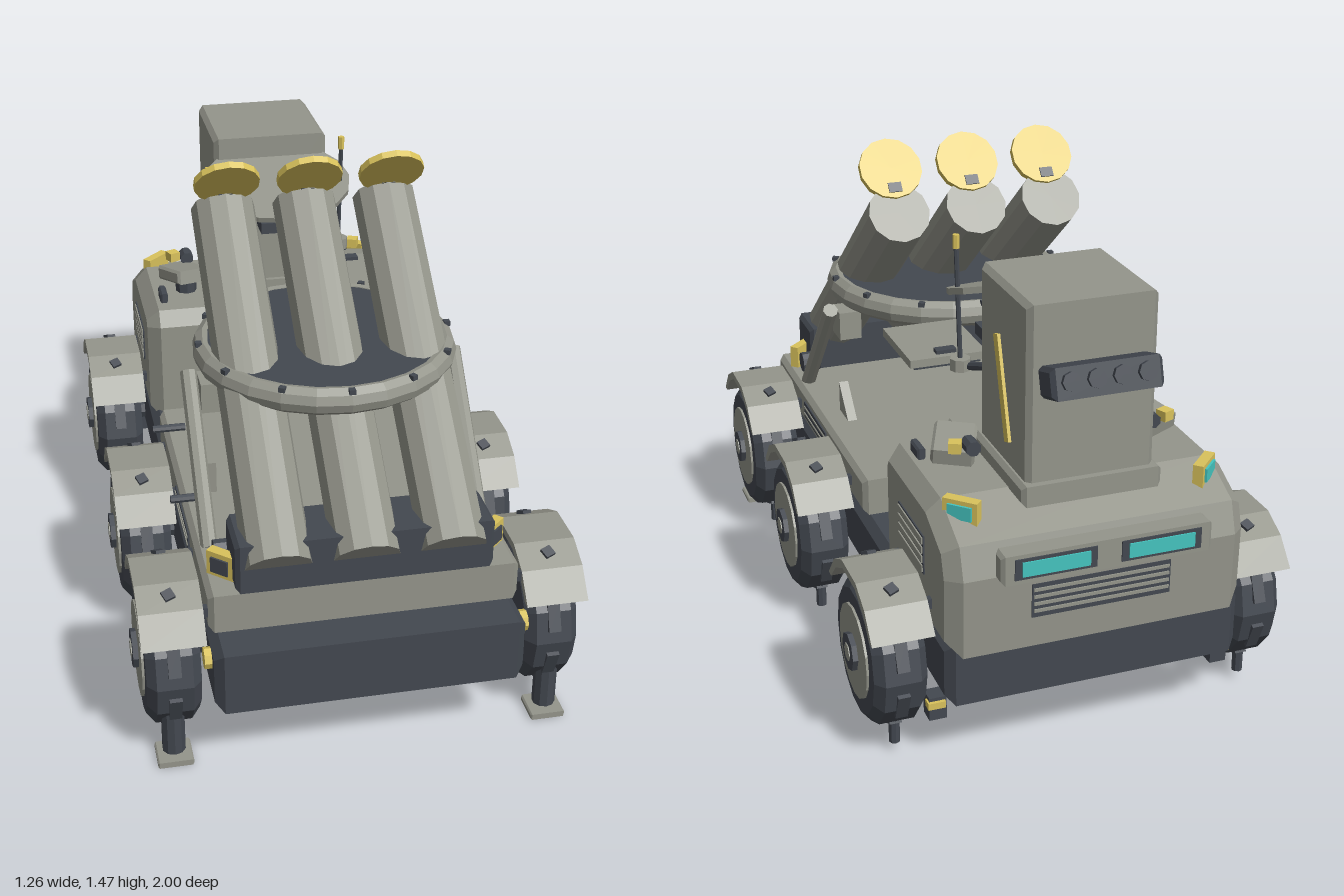
import * as THREE from 'three';

export function createModel() {
  const root = new THREE.Group();
  const mat = (name, color) => {
    const m = new THREE.MeshStandardMaterial({ color });
    m.name = name;
    return m;
  };
  const grey = mat('warmGrey', 0x94958b), dark = mat('slate', 0x434850);
  const yellow = mat('yellow', 0xd9c25c), teal = mat('teal', 0x45c4bf);

  // Faceted mesh placed at (x, y, z)
  const add = (name, geo, m, x = 0, y = 0, z = 0, rx = 0, ry = 0, rz = 0) => {
    const g = geo.index ? geo.toNonIndexed() : geo;
    g.computeVertexNormals();
    const mesh = new THREE.Mesh(g, m);
    mesh.name = name;
    mesh.position.set(x, y, z);
    mesh.rotation.set(rx, ry, rz);
    root.add(mesh);
    return mesh;
  };
  const box = (w, h, d) => new THREE.BoxGeometry(w, h, d);
  const cyl = (r, h, n = 12, r2 = r) => new THREE.CylinderGeometry(r, r2, h, n);
  const wheelCyl = (r, h, n = 12, r2 = r) => cyl(r, h, n, r2).rotateZ(-Math.PI / 2);
  // Side profile of [z, y] points, extruded across x with chamfered ends
  const sideExtrude = (pts, width, c = 0) => {
    const s = new THREE.Shape(pts.map(p => new THREE.Vector2(p[0], p[1])));
    return new THREE.ExtrudeGeometry(s, {
      depth: width - 2 * c, bevelEnabled: c > 0, bevelSize: c, bevelThickness: c,
      bevelOffset: -c, bevelSegments: 1,
    }).translate(0, 0, c - width / 2).rotateY(-Math.PI / 2);
  };
  // Box with chamfered edges
  const cbox = (w, h, d, c) => {
    const a = d / 2, b = h / 2;
    return sideExtrude([[-a, -b], [a, -b], [a, b], [-a, b]], w, c);
  };
  // Round bar between two points
  const bar = (name, a, b, r, m, n = 8) => {
    const p = new THREE.Vector3(...a), q = new THREE.Vector3(...b);
    const mesh = add(name, cyl(r, p.distanceTo(q), n), m);
    mesh.position.copy(p).add(q).multiplyScalar(0.5);
    mesh.quaternion.setFromUnitVectors(new THREE.Vector3(0, 1, 0), q.sub(p).normalize());
  };
  const sides = [-1, 1];

  // Chassis and load bed
  add('chassis', cbox(0.86, 0.185, 1.93, 0.025), dark, 0, 0.31, 0.035);
  add('bed', cbox(0.86, 0.115, 1.06, 0.015), grey, 0, 0.47, 0.37);
  add('bedUnderlay', box(0.8, 0.03, 1.0), dark, 0, 0.405, 0.37);

  // Wheels, fenders and axles
  const arch = [[-0.215, 0.41], [-0.15, 0.485], [-0.07, 0.525], [0.07, 0.525], [0.15, 0.485], [0.215, 0.41],
    [0.19, 0.41], [0.135, 0.465], [0.06, 0.503], [-0.06, 0.503], [-0.135, 0.465], [-0.19, 0.41]];
  for (const z of [0.735, 0.12, -0.66]) {
    add('axle', wheelCyl(0.035, 0.95, 8), dark, 0, 0.275, z);
    add('differential', cyl(0.07, 0.05, 6), dark, 0, 0.2, z);
    for (const s of sides) {
      const x = s * 0.53;
      add('tyre', wheelCyl(0.21, 0.1, 14), dark, x, 0.275, z);
      add('tyreShoulder', wheelCyl(s > 0 ? 0.18 : 0.21, 0.025, 14, s > 0 ? 0.21 : 0.18), dark, x + s * 0.0625, 0.275, z);
      add('tyreInnerShoulder', wheelCyl(s > 0 ? 0.21 : 0.18, 0.025, 14, s > 0 ? 0.18 : 0.21), dark, x - s * 0.0625, 0.275, z);
      add('rim', wheelCyl(0.135, 0.012, 16), grey, x + s * 0.076, 0.275, z);
      add('hub', wheelCyl(0.055, 0.03, 8), dark, x + s * 0.082, 0.275, z);
      add('hubCap', wheelCyl(0.026, 0.02, 6), grey, x + s * 0.09, 0.275, z);
      for (let i = 0; i < 8; i++) {
        const a = (i + 0.5) * Math.PI / 4;
        add('treadLug', box(0.035, 0.014, 0.09), dark, x, 0.275 + 0.205 * Math.sin(a), z + 0.205 * Math.cos(a), Math.PI / 2 - a);
      }
      add('fender', sideExtrude(arch, 0.175), grey, x, 0, z);
      for (const t of sides) {
        add('fenderBolt', box(0.03, 0.02, 0.03), dark, x, 0.507, z + t * 0.105, t * 0.45, 0.4);
        add('fenderBracket', box(0.05, 0.03, 0.02), dark, s * 0.44, 0.47, z + t * 0.14);
        if (z < 0.7 || t < 0) add('wheelPeg', cyl(0.016, 0.12, 8), dark, x, 0.09, z + t * 0.105);
      }
    }
  }

  for (const s of sides) {
    // Stabiliser legs
    add('stabiliserLeg', cyl(0.033, 0.2, 10), dark, s * 0.535, 0.13, 0.88);
    add('stabiliserFoot', cbox(0.1, 0.018, 0.095, 0.004), grey, s * 0.535, 0.009, 0.88);
    // Low brackets beside the chassis
    add('lowBracket', box(0.05, 0.07, 0.05), dark, s * 0.425, 0.155, -0.81);
    add('lowMarker', box(0.05, 0.02, 0.03), yellow, s * 0.43, 0.17, -0.83);
    add('chassisMarker', cyl(0.03, 0.02, 8), yellow, s * 0.44, 0.35, 0.92, 0, 0, Math.PI / 2);
    // Bed vents
    add('bedVent', box(0.008, 0.055, 0.27), dark, s * 0.431, 0.472, 0.4);
    for (const y of [0.46, 0.484]) add('bedSlat', box(0.008, 0.006, 0.26), grey, s * 0.434, y, 0.4);
    // Ring supports, gussets and pivot
    bar('liftStrut', [s * 0.39, 0.52, 0.65], [s * 0.39, 0.9, 0.31], 0.024, grey);
    add('strutHead', box(0.07, 0.09, 0.09), grey, s * 0.33, 0.845, 0.34);
    add('gusset', sideExtrude([[0.27, 0.525], [0.37, 0.525], [0.37, 0.625]], 0.03), grey, s * 0.34);
    add('pivot', wheelCyl(0.033, 0.06, 10), dark, s * 0.36, 0.56, 0.73);
    // Front marker lamps
    const ry = -s * Math.PI / 4;
    add('frontLampFrame', box(0.085, 0.075, 0.03), yellow, s * 0.375, 0.563, 0.8, 0, s * 0.75);
    add('frontLampFace', box(0.055, 0.045, 0.006), dark, s * 0.387, 0.563, 0.813, 0, s * 0.75);
    // Rear corner lamps
    add('rearLampFrame', box(0.1, 0.065, 0.03), yellow, s * 0.35, 0.745, -0.825, 0, ry);
    add('rearLampLens', box(0.07, 0.04, 0.008), teal, s * 0.362, 0.745, -0.838, 0, ry);
    // Cab side vents and handles
    add('cabVent', box(0.008, 0.115, 0.22), dark, s * 0.43, 0.585, -0.64);
    for (let i = 0; i < 4; i++) add('cabVentSlat', box(0.012, 0.02, 0.21), grey, s * 0.432, 0.543 + i * 0.028, -0.64);
    add('cabHandle', cbox(0.025, 0.035, 0.07, 0.006), dark, s * 0.365, 0.775, -0.5);
    // Roof sensor pods
    add('sensorPod', cbox(0.12, 0.045, 0.14, 0.008), grey, s * 0.285, 0.815, -0.575, -0.2, -s * 0.4);
    add('sensorMount', cyl(0.035, 0.05, 8), dark, s * 0.28, 0.775, -0.56);
    add('sensorLens', cyl(0.022, 0.05, 8), dark, s * 0.265, 0.84, -0.655, Math.PI / 2, -s * 0.4);
    add('sensorTip', box(0.035, 0.03, 0.035), yellow, s * 0.31, 0.845, -0.655, 0, -s * 0.4);
    // Tower side stripe
    add('towerStripe', box(0.009, 0.29, 0.032), yellow, s * 0.187, 1.01, -0.685, 0.31);
  }
  for (const z of [0.02, 0.44]) add('sidePipe', wheelCyl(0.012, 0.1, 8), dark, -0.42, 0.56, z);

  // Rear cab
  add('cab', sideExtrude([[-0.38, 0.37], [-0.38, 0.71], [-0.41, 0.76], [-0.77, 0.76],
    [-0.92, 0.69], [-0.95, 0.6], [-0.945, 0.37]].reverse(), 0.86, 0.04), grey);
  add('cabFrontBox', cbox(0.44, 0.12, 0.1, 0.012), grey, 0, 0.705, -0.36);
  add('rearLightBar', cbox(0.6, 0.085, 0.055, 0.01), grey, 0, 0.635, -0.963);
  add('rearGrille', box(0.4, 0.1, 0.008), dark, 0, 0.51, -0.947);
  for (let i = 0; i < 4; i++) add('grilleSlat', box(0.39, 0.009, 0.008), grey, 0, 0.48 + i * 0.021, -0.951);
  for (const s of sides) {
    add('rearLightFrame', box(0.23, 0.06, 0.008), dark, s * 0.15, 0.636, -0.99);
    add('rearLight', box(0.19, 0.042, 0.006), teal, s * 0.15, 0.636, -0.995);
  }

  // Sensor tower
  add('towerBase', cbox(0.4, 0.06, 0.39, 0.012), grey, 0, 0.775, -0.68);
  add('tower', cbox(0.365, 0.53, 0.355, 0.015), grey, 0, 1.035, -0.678);
  add('rearSensor', cbox(0.31, 0.085, 0.1, 0.012), dark, 0, 1.105, -0.905, 0.3);
  for (let i = 0; i < 4; i++) {
    add('rearSensorEye', cyl(0.026, 0.05, 8), dark, -0.105 + i * 0.07, 1.12, -0.94, Math.PI / 2 + 0.3);
  }
  add('dish', cyl(0.235, 0.018, 16).scale(1, 1, 0.82), grey, 0, 1.185, -0.39, 0.32);
  add('towerShelf', box(0.2, 0.035, 0.16), dark, 0.04, 1.048, -0.42);
  add('shelfCanister', cyl(0.033, 0.13, 10), dark, 0.04, 1.12, -0.43);
  bar('shelfBrace', [0.18, 0.96, -0.4], [0.15, 1.0, -0.52], 0.012, dark);
  add('antennaBase', cyl(0.03, 0.035, 8), grey, 0.2, 0.965, -0.385);
  bar('antenna', [0.2, 0.97, -0.385], [0.2, 1.3, -0.355], 0.007, dark, 6);
  add('antennaTip', cyl(0.01, 0.04, 6), yellow, 0.2, 1.315, -0.354);

  // Walkway plate between ring and tower
  add('walkway', box(0.23, 0.024, 0.27), grey, 0.205, 0.943, -0.165);
  add('walkwayEdge', box(0.2, 0.012, 0.25), dark, 0.205, 0.927, -0.165);
  add('walkwayLatch', box(0.06, 0.012, 0.03), dark, 0.205, 0.96, -0.265);

  // Launcher ring
  const rim = [[0.325, 0.925], [0.35, 0.92], [0.37, 0.935], [0.378, 0.96], [0.37, 0.985], [0.35, 1.0], [0.335, 0.997], [0.325, 0.925]];
  add('ringRim', new THREE.LatheGeometry(rim.map(p => new THREE.Vector2(...p)), 24), grey, 0, 0, 0.335);
  add('ringPlate', cyl(0.345, 0.05, 24), dark, 0, 0.97, 0.335);
  for (let i = 0; i < 12; i++) {
    const a = i * Math.PI / 6;
    add('ringBolt', box(0.018, 0.014, 0.018), dark, 0.362 * Math.sin(a), 0.995, 0.335 + 0.362 * Math.cos(a), 0, a);
  }

  // Launch tubes with open lids, on a dark cradle
  add('cradle', cbox(0.71, 0.145, 0.17, 0.012), dark, 0, 0.6, 0.815);
  const tilt = Math.atan2(-0.86, 0.69);
  for (const x of [-0.24, 0, 0.24]) {
    add('launchTube', cyl(0.093, 1.1, 12), grey, x, 0.94, 0.467, tilt);
    add('tubeLid', cyl(0.095, 0.02, 14), yellow, x, 1.393, 0.125, tilt);
    add('lidHinge', box(0.04, 0.025, 0.03), dark, x, 1.345, 0.085, tilt);
  }
  return root;
}
